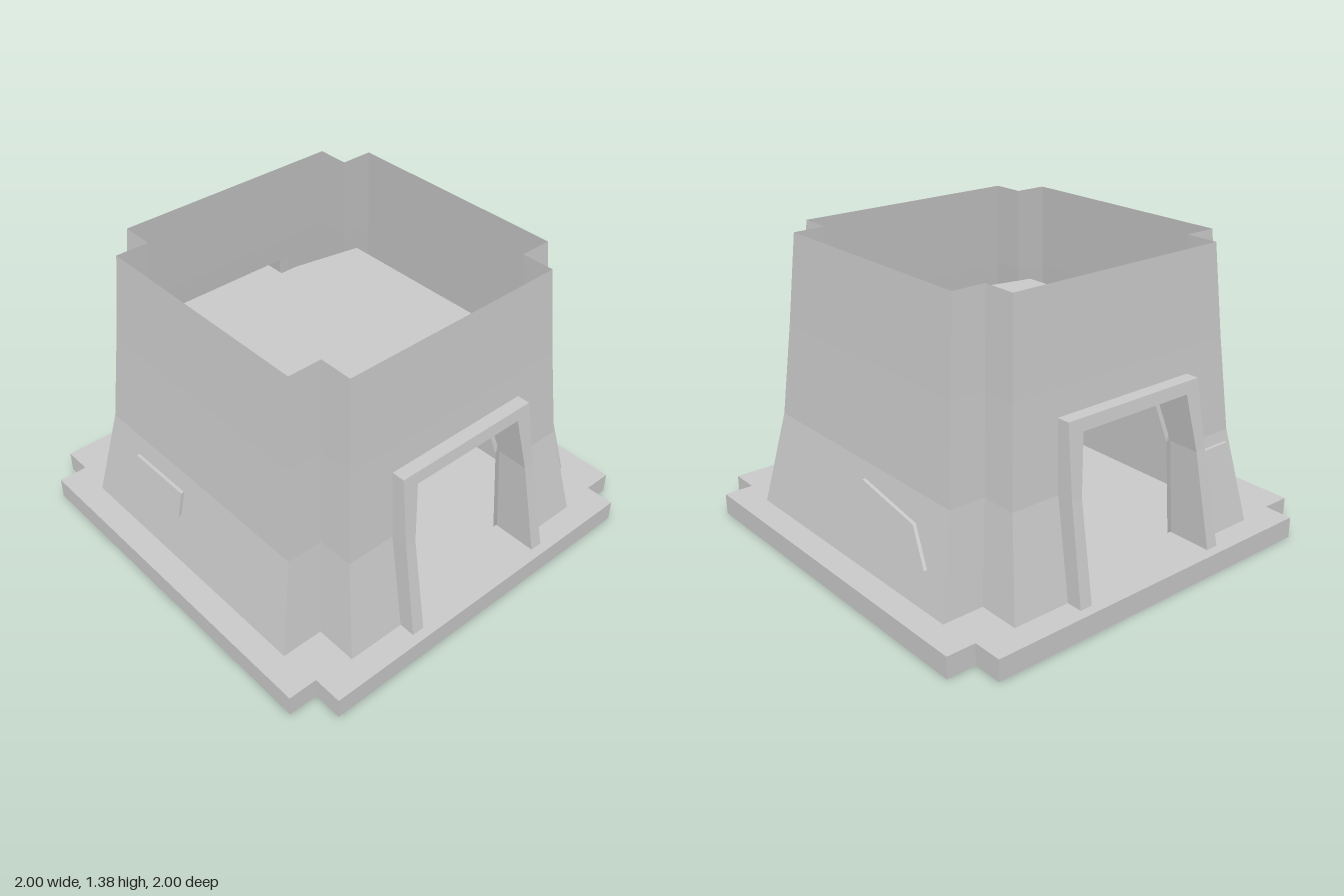
import * as THREE from 'three';
import { mergeVertices } from 'three/addons/utils/BufferGeometryUtils.js';

const flat = new THREE.MeshStandardMaterial({ color: 0xcccccc, flatShading: true, side: THREE.DoubleSide });
const smooth = new THREE.MeshStandardMaterial({ color: 0xcccccc, side: THREE.DoubleSide });

// Skin rows of points (all the same length) with quads
function loft(rows) {
  const pos = [];
  for (let i = 0; i + 1 < rows.length; i++) {
    for (let j = 0; j + 1 < rows[i].length; j++) {
      const a = rows[i][j], b = rows[i][j + 1], c = rows[i + 1][j + 1], d = rows[i + 1][j];
      pos.push(...a, ...b, ...c, ...a, ...c, ...d);
    }
  }
  const g = new THREE.BufferGeometry();
  g.setAttribute('position', new THREE.Float32BufferAttribute(pos, 3));
  g.computeVertexNormals();
  return g;
}

function part(parent, name, geometry, material = flat) {
  const m = new THREE.Mesh(geometry, material);
  m.name = name;
  parent.add(m);
  return m;
}

// Linear lookup in [y, value] pairs
function at(table, y) {
  let i = 0;
  while (i < table.length - 2 && y > table[i + 1][0]) i++;
  const [y0, v0] = table[i], [y1, v1] = table[i + 1];
  return v0 + (v1 - v0) * (y - y0) / (y1 - y0);
}

// Profiles over height: wall face, wall half width, door frame and room
const face = y => at([[0.1, 0.88], [0.54, 0.79], [0.97, 0.75], [1.385, 0.715]], y);
const half = y => at([[0.1, 0.683], [0.54, 0.62], [0.97, 0.585], [1.385, 0.557]], y);
const frameOut = y => at([[0.1, 0.405], [0.54, 0.385], [0.855, 0.368]], y);
const frameIn = y => at([[0.1, 0.345], [0.54, 0.333], [0.8, 0.295]], y);
const frameZ = y => at([[0.1, 0.955], [0.54, 0.87], [0.855, 0.822]], y);
const roomZ = y => at([[0.1, 0.745], [0.54, 0.72], [0.8, 0.635], [0.95, 0.54]], y);
const roomX = y => at([[0.1, 0.685], [0.54, 0.67], [0.8, 0.63], [0.95, 0.57]], y);

// Square with square notches cut from its corners
function plusPoints(a, b) {
  return [[b, a], [b, b], [a, b], [a, -b], [b, -b], [b, -a], [-b, -a], [-b, -b],
    [-a, -b], [-a, b], [-b, b], [-b, a]];
}

function plusShape(a, b, Type) {
  return new Type(plusPoints(a, b).map(p => new THREE.Vector2(...p)));
}

// Wall with a doorway, its frame and passage, facing +z
function doorWall() {
  const g = new THREE.Group();
  const low = [0.1, 0.54, 0.855], high = [0.855, 0.97, 1.385];
  for (const s of [1, -1]) {
    part(g, 'wallBesideDoor', loft(low.map(y => [
      [s * frameOut(y), y, face(y)], [s * half(y), y, face(y)]])));
  }
  part(g, 'wallAboveDoor', loft(high.map(y => [
    [-half(y), y, face(y)], [-frameOut(Math.min(y, 0.855)), y, face(y)],
    [frameOut(Math.min(y, 0.855)), y, face(y)], [half(y), y, face(y)]])));

  // Path up one jamb, over the top and down the other
  const arch = (width, top) => [[-1, 0.1], [-1, 0.54], [-1, top], [1, top], [1, 0.54], [1, 0.1]]
    .map(([s, y]) => [s * width(y), y]);
  const outer = arch(frameOut, 0.855), inner = arch(frameIn, 0.8);
  const lift = (path, depth) => path.map(([x, y]) => [x, y, depth(y)]);
  part(g, 'doorFrame', loft([lift(outer, face), lift(outer, frameZ), lift(inner, frameZ)]));
  part(g, 'doorPassage', loft([lift(inner, frameZ), lift(inner, roomZ)]));
  part(g, 'passageFloor', loft([
    [[-0.345, 0.1, 0.74], [0.345, 0.1, 0.74]], [[-0.345, 0.1, 0.88], [0.345, 0.1, 0.88]]]));
  return g;
}

// Thin plate lying on a sloping wall; corners are [along, y], place maps to space
function plate(corners, place) {
  const ring = out => [...corners, corners[0]].map(([s, y]) => place(s, y, face(y) + out));
  const [a, b, c, d] = ring(0.016);
  const g = new THREE.Group();
  part(g, 'plateFace', loft([[a, b], [d, c]]));
  part(g, 'plateEdge', loft([ring(-0.003), ring(0.016)]));
  return g;
}

// Octagonal room outline at a height
function roomRing(y) {
  const x = roomX(y), z = roomZ(y), zc = x * 0.835, xc = z * 0.43;
  return [[xc, z], [x, zc], [x, -zc], [xc, -z], [-xc, -z], [-x, -zc], [-x, zc], [-xc, z]]
    .map(([px, pz]) => [px, y, pz]);
}

export function createModel() {
  const model = new THREE.Group();
  model.name = 'towerBase';

  // Hollow plinth: top plate with an opening, and a skirt
  const top = plusShape(1, 0.862, THREE.Shape);
  top.holes.push(plusShape(0.88, 0.683, THREE.Path));
  part(model, 'plinthTop', new THREE.ShapeGeometry(top).rotateX(-Math.PI / 2).translate(0, 0.1, 0));
  const rim = plusPoints(1, 0.862);
  rim.push(rim[0]);
  part(model, 'plinthSkirt', loft([0, 0.1].map(y => rim.map(([x, z]) => [x, y, z]))));

  // Front and back walls with doorways
  for (const [name, turn] of [['frontWall', 0], ['backWall', Math.PI]]) {
    const wall = doorWall();
    wall.name = name;
    wall.rotation.y = turn;
    model.add(wall);
  }

  // Plain side walls and notched corners
  const levels = [0.1, 0.54, 0.97, 1.385];
  for (const s of [1, -1]) {
    part(model, s > 0 ? 'leftWall' : 'rightWall', loft(levels.map(y => [
      [s * face(y), y, s * half(y)], [s * face(y), y, -s * half(y)]])));
    for (const t of [1, -1]) {
      part(model, 'cornerNotch', loft(levels.map(y => [
        [s * half(y), y, t * face(y)], [s * half(y), y, t * half(y)], [s * face(y), y, t * half(y)]])));
    }
  }

  // Inner room: vaulted shell open at the doorways
  const heights = [0.1, 0.54, 0.8, 0.95];
  const sides = heights.map(roomRing);
  const shell = new THREE.Group();
  shell.name = 'innerRoom';
  model.add(shell);
  part(shell, 'roomSideWalls', loft(sides.map(r => r.slice(0, 4))), flat);
  part(shell, 'roomSideWalls', loft(sides.map(r => r.slice(4))), flat);
  for (const [i, j] of [[3, 4], [7, 0]]) {
    part(shell, 'wallOverDoor', loft(sides.slice(2).map(r => [r[i], r[j]])));
  }
  const cap = y => {
    const ring = roomRing(y);
    ring.push(ring[0]);
    return loft([ring, ring.map(() => [0, y, 0])]);
  };
  const ceiling = mergeVertices(cap(0.95));
  ceiling.computeVertexNormals();
  part(shell, 'roomCeiling', ceiling, smooth);
  part(shell, 'roomFloor', cap(0.1));

  // Repair plates on the walls
  const plates = [
    ['leftPlate', [[-0.06, 0.29], [-0.54, 0.265], [-0.43, 0.415], [-0.06, 0.47]], (s, y, d) => [d, y, s]],
    ['rightPlate', [[-0.07, 0.33], [-0.42, 0.33], [-0.41, 0.45], [-0.07, 0.45]], (s, y, d) => [-d, y, s]],
    ['backPlate', [[-0.65, 0.14], [-0.45, 0.14], [-0.43, 0.49], [-0.6, 0.49]], (s, y, d) => [s, y, -d]],
  ];
  for (const [name, corners, place] of plates) {
    const p = plate(corners, place);
    p.name = name;
    model.add(p);
  }
  return model;
}
